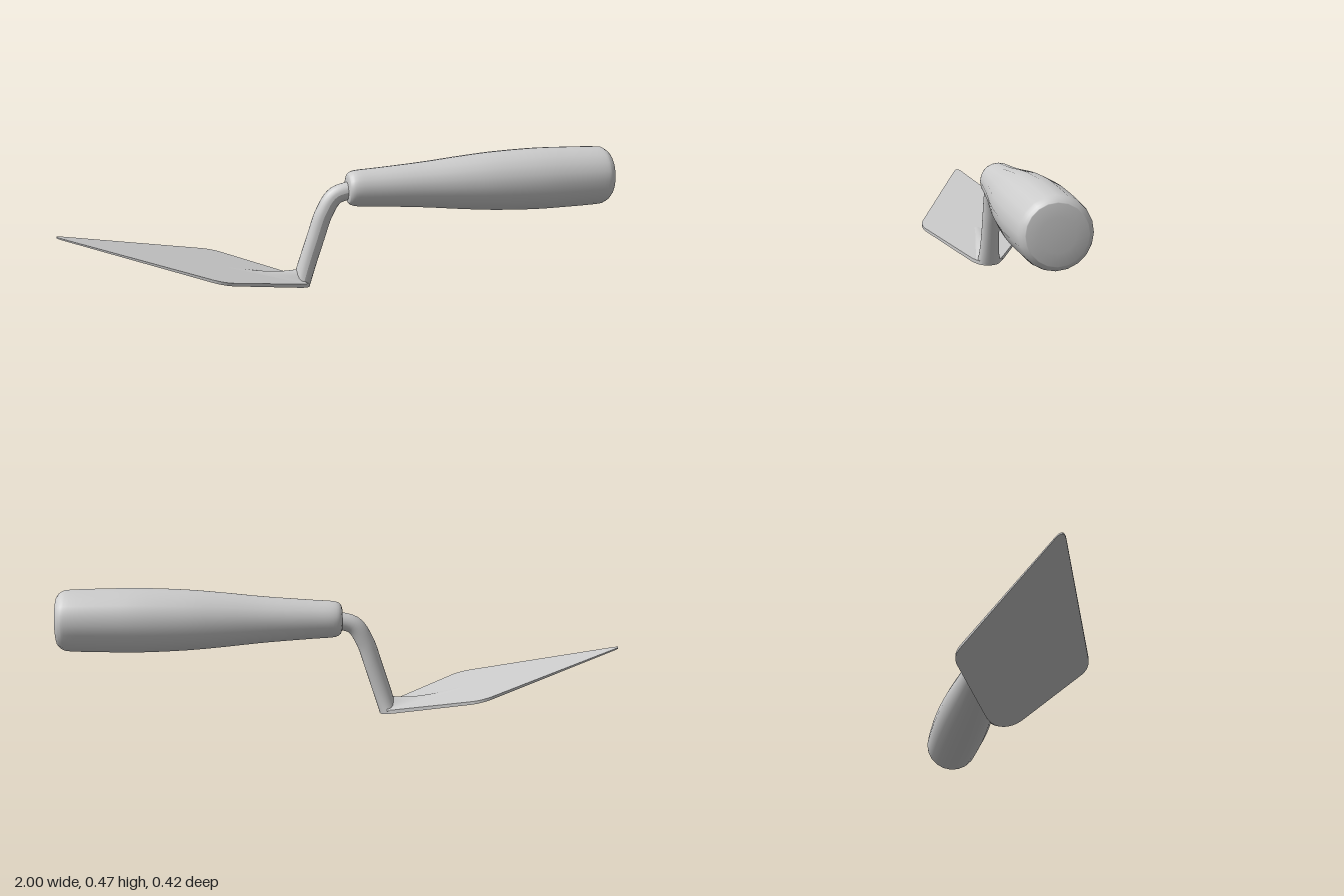
import * as THREE from 'three';
import { toCreasedNormals } from 'three/addons/utils/BufferGeometryUtils.js';
import { ParametricGeometry } from 'three/addons/geometries/ParametricGeometry.js';

const AXIS_Z = -0.005; // the stem and handle sit a hair off centre
const HEEL_X = -0.13, TIP_X = -1;

// Underside of the sloping blade, and its thickness tapering to the tip
const bladeBottom = x => 0.002 + 0.256 * (HEEL_X - x);
const bladeThickness = x => THREE.MathUtils.mapLinear(x, HEEL_X, TIP_X, 0.014, 0.005);

function createBlade() {
  // Kite outline with rounded tip, shoulders and heel
  const s = new THREE.Shape();
  s.moveTo(-0.975, 0.018);
  s.lineTo(-0.5, 0.205);
  s.quadraticCurveTo(-0.46, 0.22, -0.425, 0.203);
  s.lineTo(-0.175, 0.063);
  s.quadraticCurveTo(HEEL_X, 0.036, HEEL_X, 0);
  s.quadraticCurveTo(HEEL_X, -0.036, -0.175, -0.063);
  s.lineTo(-0.425, -0.203);
  s.quadraticCurveTo(-0.46, -0.22, -0.5, -0.205);
  s.lineTo(-0.975, -0.018);
  s.bezierCurveTo(-1.008, -0.006, -1.008, 0.006, -0.975, 0.018);
  const geo = new THREE.ExtrudeGeometry(s, { depth: 1, bevelEnabled: false, curveSegments: 8 });
  geo.rotateX(-Math.PI / 2);
  // Slope the slab and taper its thickness
  const p = geo.attributes.position;
  for (let i = 0; i < p.count; i++) {
    const x = p.getX(i);
    p.setY(i, bladeBottom(x) + p.getY(i) * bladeThickness(x));
  }
  return toCreasedNormals(geo, 0.6);
}

function createFairing() {
  // Soft ridge that blends the blade into the stem
  const x0 = -0.42, x1 = -0.15;
  return new ParametricGeometry((u, v, target) => {
    const x = THREE.MathUtils.lerp(x0, x1, u);
    const across = v * 2 - 1;
    const width = THREE.MathUtils.lerp(0.02, 0.052, u);
    const height = 0.002 + 0.044 * u ** 2.6;
    const bump = Math.cos(across * Math.PI / 2) ** 2;
    target.set(x, bladeBottom(x) + bladeThickness(x) - 0.001 + height * bump, across * width + AXIS_Z * u);
  }, 20, 16);
}

function createStem() {
  const path = new THREE.CatmullRomCurve3([
    [-0.16, 0.012], [-0.135, 0.09], [-0.105, 0.18], [-0.075, 0.265], [-0.035, 0.325], [0.03, 0.345],
  ].map(([x, y]) => new THREE.Vector3(x, y, 0)));
  const geo = new THREE.TubeGeometry(path, 32, 0.032, 20);
  // Flare the foot sideways
  const p = geo.attributes.position;
  for (let i = 0; i < p.count; i++) {
    p.setZ(i, p.getZ(i) * (1 + 0.45 * Math.exp(-p.getY(i) / 0.05)) + AXIS_Z);
  }
  geo.computeVertexNormals();
  return geo;
}

function createHandle() {
  // Swelling grip: radius against distance along the axis
  const grip = new THREE.SplineCurve([
    [0.052, 0.012], [0.064, 0.035], [0.07, 0.12], [0.082, 0.28], [0.097, 0.43], [0.107, 0.55],
    [0.113, 0.7], [0.112, 0.82], [0.108, 0.95], [0.101, 0.98], [0.088, 0.995],
  ].map(([r, d]) => new THREE.Vector2(r, d)));
  const profile = [
    new THREE.Vector2(0, 0.008), new THREE.Vector2(0.04, 0.008),
    ...grip.getPoints(44),
    new THREE.Vector2(0.05, 1), new THREE.Vector2(0, 1),
  ];
  return new THREE.LatheGeometry(profile, 20).rotateZ(-Math.PI / 2);
}

export function createModel() {
  const group = new THREE.Group();
  const solid = new THREE.MeshStandardMaterial({ color: 0xcccccc });
  const open = new THREE.MeshStandardMaterial({ color: 0xcccccc, side: THREE.DoubleSide });
  const add = (name, geo, mat = solid) => {
    const mesh = new THREE.Mesh(geo, mat);
    mesh.name = name;
    group.add(mesh);
    return mesh;
  };

  add('blade', createBlade());
  add('bladeFairing', createFairing(), open);
  add('stem', createStem(), open);
  const handle = add('handle', createHandle());
  handle.position.set(0, 0.348, AXIS_Z - 0.002);
  handle.rotation.z = 0.009;
  return group;
}
